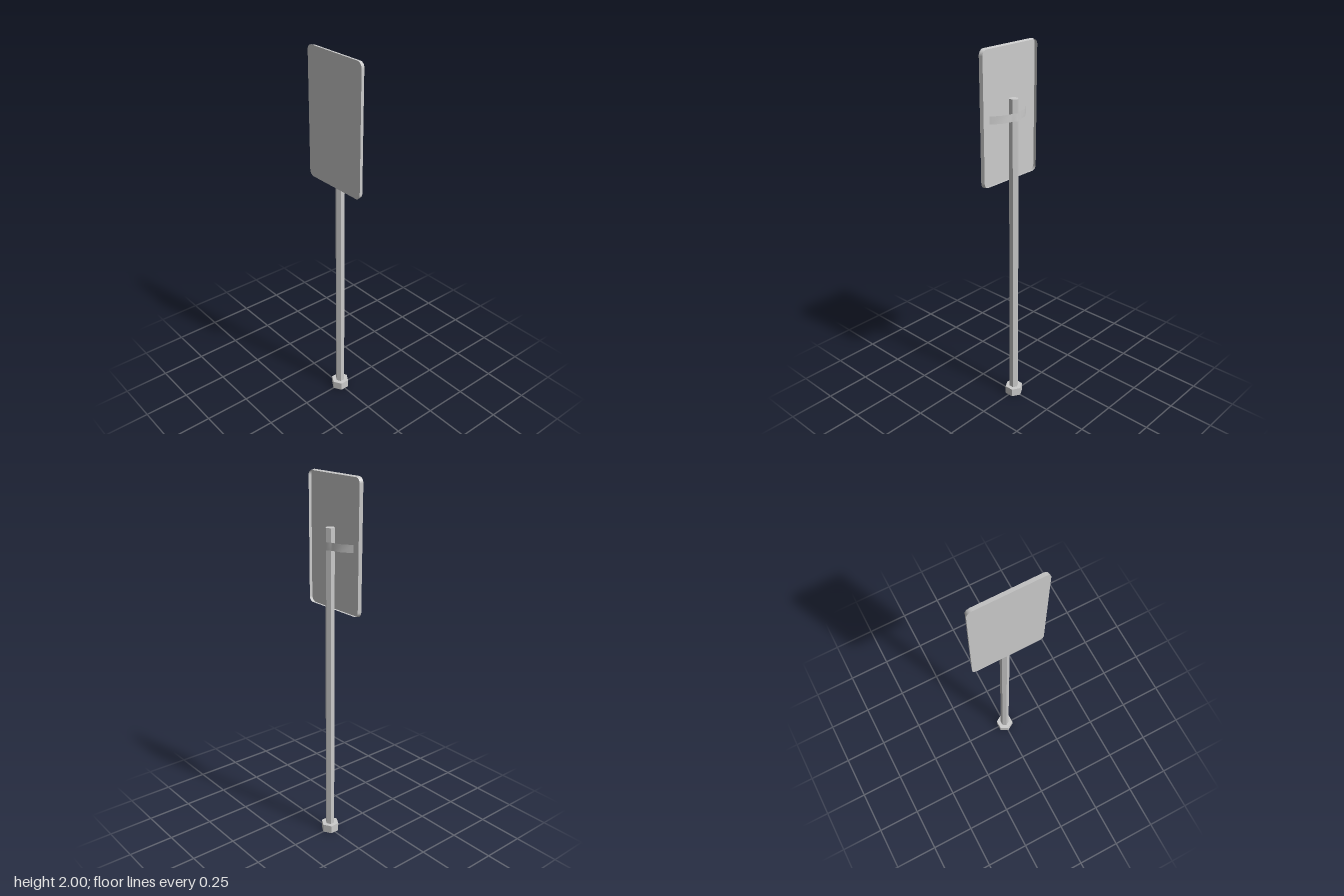
import * as THREE from 'three';

const solid = new THREE.MeshStandardMaterial({ color: 0xcccccc, flatShading: true });
const sheet = new THREE.MeshStandardMaterial({ color: 0xcccccc, side: THREE.DoubleSide });

function add(parent, name, geometry, material) {
  const mesh = new THREE.Mesh(geometry, material);
  mesh.name = name;
  parent.add(mesh);
  return mesh;
}

// Rounded rectangle centred on the origin
function roundedRect(w, h, r) {
  const s = new THREE.Shape();
  s.absarc(w - r, h - r, r, 0, Math.PI / 2);
  s.absarc(-w + r, h - r, r, Math.PI / 2, Math.PI);
  s.absarc(-w + r, -h + r, r, Math.PI, Math.PI * 1.5);
  s.absarc(w - r, -h + r, r, Math.PI * 1.5, Math.PI * 2);
  s.closePath();
  return s;
}

// Sheet spanned between two equally long rows of points
function ribbon(a, b) {
  const pos = [], index = [];
  a.forEach((p, i) => {
    pos.push(...p, ...b[i]);
    if (i) {
      const k = 2 * i;
      index.push(k - 2, k - 1, k, k, k - 1, k + 1);
    }
  });
  const g = new THREE.BufferGeometry();
  g.setAttribute('position', new THREE.Float32BufferAttribute(pos, 3));
  g.setIndex(index);
  g.computeVertexNormals();
  return g;
}

export function createModel() {
  const model = new THREE.Group();
  model.name = 'signPost';

  // Hexagonal foot and pole
  add(model, 'foot', new THREE.CylinderGeometry(0.05, 0.05, 0.046, 6), solid).position.y = 0.023;
  add(model, 'pole', new THREE.CylinderGeometry(0.025, 0.025, 1.74, 6), solid).position.y = 0.87;

  // Sign panel: front plate with a shallow flange folded to the back
  const panel = new THREE.Group();
  panel.name = 'signPanel';
  panel.position.set(0, 1.6565, 0);
  model.add(panel);
  const W = 0.195, H = 0.3435, R = 0.03, front = 0.039, back = 0.019;
  const outer = roundedRect(W, H, R);
  add(panel, 'plate', new THREE.ShapeGeometry(outer, 5), sheet).position.z = front;
  const row = (shape, z) => shape.getPoints(5).map((p) => [p.x, p.y, z]);
  const rim = roundedRect(W - 0.004, H - 0.004, R - 0.004);
  add(panel, 'flange', ribbon(row(rim, back), row(outer, front)), sheet);

  // Clamp strap: round the back of the pole, then out to the plate on both sides
  const half = [[0.0225, -0.0135], [0.035, -0.011], [0.085, 0.003], [0.132, 0.038]];
  const path = [
    ...half.map(([x, z]) => [-x, z]).reverse(),
    [0, -0.026],
    ...half,
  ];
  const strapRow = (y) => path.map(([x, z]) => [x, y, z]);
  add(model, 'clampStrap', ribbon(strapRow(1.63), strapRow(1.67)), sheet);

  return model;
}
